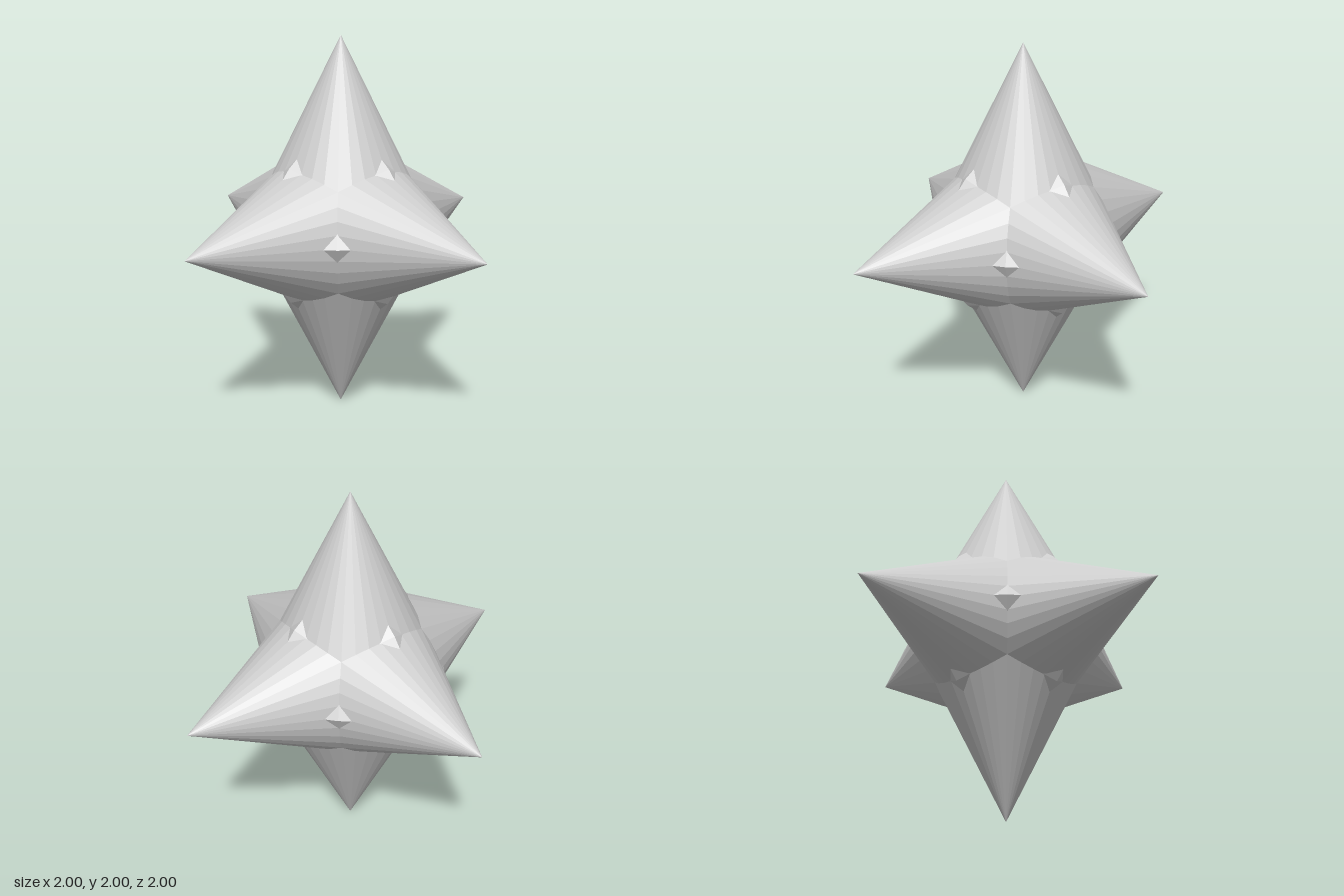
import * as THREE from 'three';

export function createModel() {
  const star = new THREE.Group();
  star.name = 'sixPointedStar';
  const material = new THREE.MeshStandardMaterial({ color: 0xcccccc, flatShading: true });

  // One spike: its base lies on the star's centre, its tip one unit out
  const spike = new THREE.ConeGeometry(0.5, 1, 32, 1, true).translate(0, 0.5, 0);

  // Opposite spikes share a base rim, whose thin edge shows between the neighbours
  const half = Math.PI / 2;
  const spikes = {
    topSpike: [0, 0, 0],
    bottomSpike: [Math.PI, 0, 0],
    frontSpike: [half, 0, 0],
    backSpike: [-half, 0, 0],
    leftSpike: [0, 0, -half],
    rightSpike: [0, 0, half],
  };
  for (const [name, rotation] of Object.entries(spikes)) {
    const mesh = new THREE.Mesh(spike, material);
    mesh.name = name;
    mesh.rotation.set(...rotation);
    mesh.position.y = 1;
    star.add(mesh);
  }
  return star;
}
